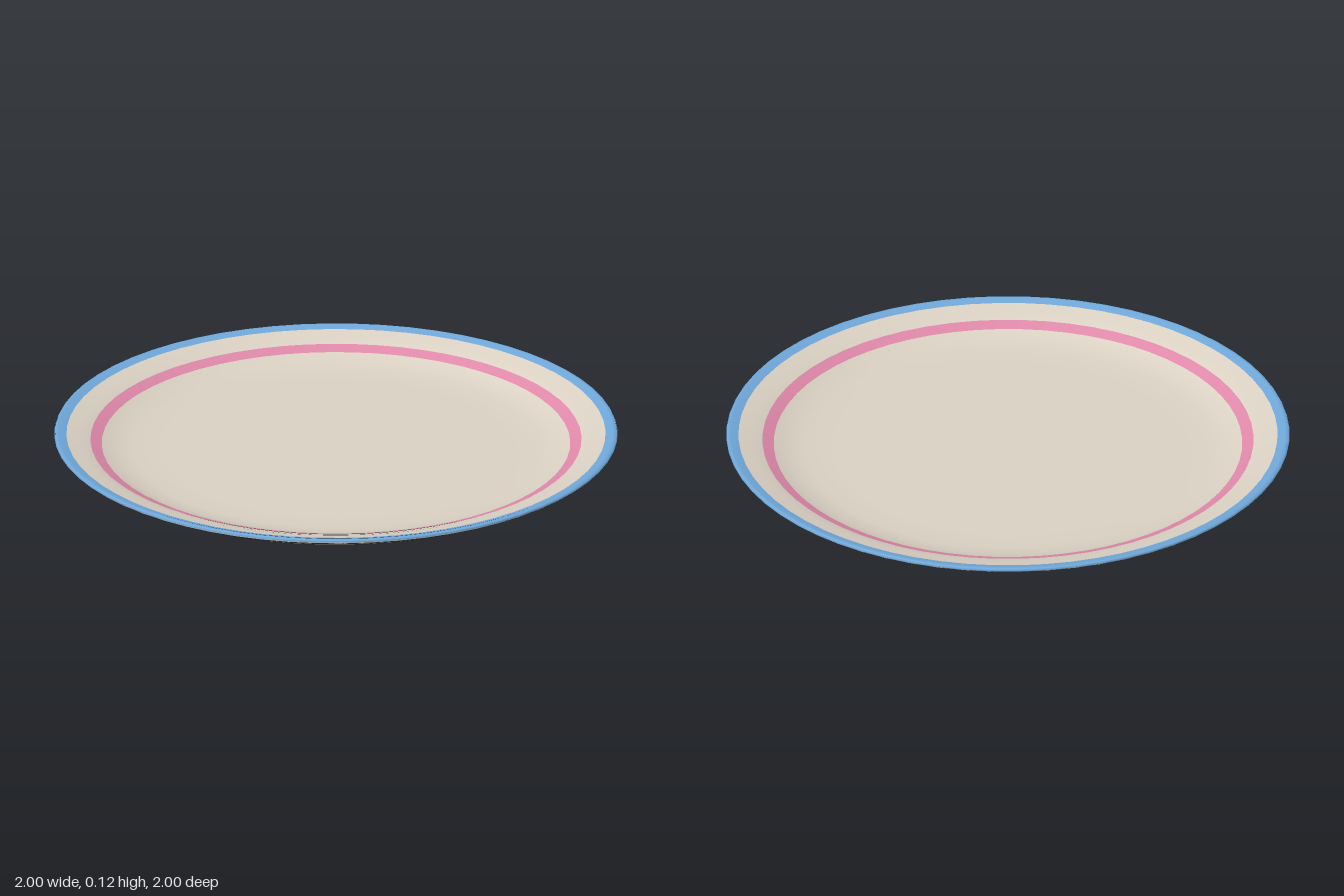
import * as THREE from 'three';

const SEGMENTS = 64;

// Closed cross-section as [radius, height]: out along the underside, over the lip, back to the centre
const PROFILE = [
  [0, 0.02], [0.33, 0.019], [0.4, 0.012], [0.43, 0], [0.56, 0], [0.6, 0.02],
  [0.77, 0.03], [0.9, 0.058], [0.975, 0.093], [0.995, 0.103], [1, 0.109], // 10: lip edge
  [0.995, 0.116], [0.982, 0.117], [0.955, 0.109],                         // 13: inside of blue band
  [0.91, 0.1], [0.87, 0.088],                                             // 15: outside of pink ring
  [0.83, 0.073],                                                          // 16: inside of pink ring
  [0.78, 0.057], [0.72, 0.049], [0.62, 0.046], [0, 0.045],
];

export function createModel() {
  const plate = new THREE.Group();
  plate.name = 'plate';

  const material = (name, color) => {
    const m = new THREE.MeshStandardMaterial({ color });
    m.name = name;
    return m;
  };
  const cream = material('cream glaze', 0xdbd2c4);
  const blue = material('blue glaze', 0x70a8da);
  const pink = material('pink glaze', 0xe089aa);

  // One smooth turned body; each part keeps its own bands so the shading stays continuous
  const body = new THREE.LatheGeometry(PROFILE.map(([r, y]) => new THREE.Vector2(r, y)), SEGMENTS);

  const addBand = (name, from, to, mat) => {
    const n = PROFILE.length;
    const index = [];
    for (let i = 0; i < SEGMENTS; i++) {
      for (let j = from; j < to; j++) {
        const a = i * n + j, b = a + n, c = b + 1, d = a + 1;
        if (PROFILE[j][0] > 0) index.push(a, b, d);
        if (PROFILE[j + 1][0] > 0) index.push(c, d, b);
      }
    }
    const geometry = body.clone();
    geometry.setIndex(index);
    const mesh = new THREE.Mesh(geometry, mat);
    mesh.name = name;
    plate.add(mesh);
  };

  addBand('undersideAndFoot', 0, 10, cream);
  addBand('rimBand', 10, 13, blue);
  addBand('upperSlope', 13, 15, cream);
  addBand('innerRing', 15, 16, pink);
  addBand('floor', 16, 20, cream);

  return plate;
}
